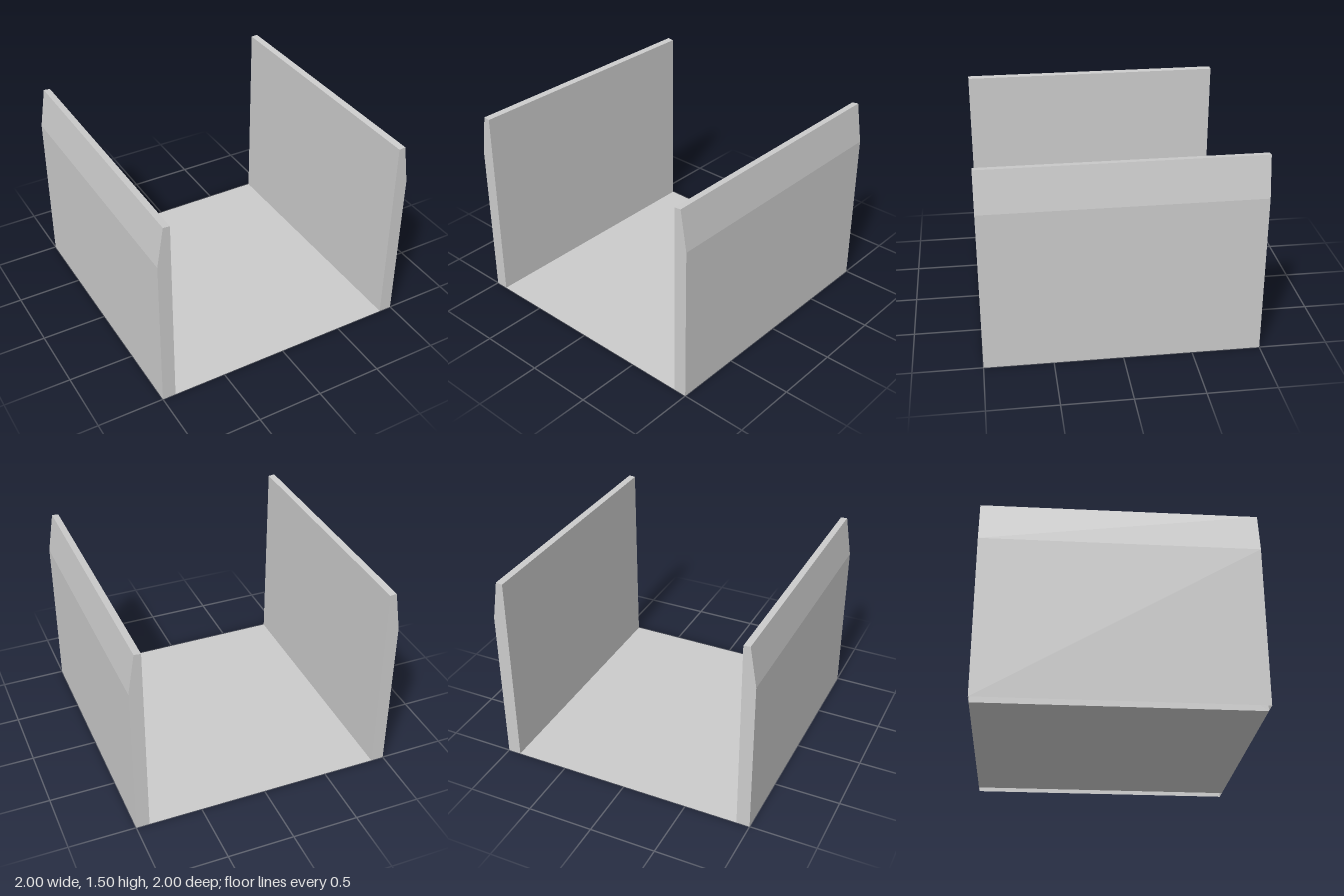
import * as THREE from 'three';

// Wall cross-section from outer foot to inner foot; the underside stays open.
const PROFILE = [[1, 0], [1, 1.2], [0.95, 1.503], [0.9, 1.498], [0.9, 0]];
const HALF = 1;

const material = new THREE.MeshStandardMaterial({
  color: 0xcccccc, flatShading: true, side: THREE.DoubleSide,
});

function mesh(geometry, name) {
  const m = new THREE.Mesh(geometry, material);
  m.name = name;
  return m;
}

// Long faces: the open profile swept along z.
function sweptFaces() {
  const pos = [];
  for (let i = 0; i < PROFILE.length - 1; i++) {
    const [ax, ay] = PROFILE[i], [bx, by] = PROFILE[i + 1];
    pos.push(ax, ay, HALF, ax, ay, -HALF, bx, by, -HALF);
    pos.push(ax, ay, HALF, bx, by, -HALF, bx, by, HALF);
  }
  const g = new THREE.BufferGeometry();
  g.setAttribute('position', new THREE.Float32BufferAttribute(pos, 3));
  g.computeVertexNormals();
  return g;
}

// End cap at +z (sign 1) or -z (sign -1, turned to face backwards).
function endCap(sign) {
  const shape = new THREE.Shape(PROFILE.map(([x, y]) => new THREE.Vector2(x * sign, y)));
  const g = new THREE.ShapeGeometry(shape).translate(0, 0, HALF);
  return sign < 0 ? g.rotateY(Math.PI) : g;
}

function createWall(name) {
  const wall = new THREE.Group();
  wall.name = name;
  wall.add(mesh(sweptFaces(), 'wallFaces'), mesh(endCap(1), 'frontEnd'), mesh(endCap(-1), 'backEnd'));
  return wall;
}

export function createModel() {
  const model = new THREE.Group();
  model.name = 'channel';

  // Thin floor sheet between the walls
  model.add(mesh(new THREE.PlaneGeometry(1.8, 2 * HALF).rotateX(-Math.PI / 2), 'floor'));

  // Two hollow side walls with bevelled outer tops
  const left = createWall('leftWall');
  const right = createWall('rightWall');
  right.rotation.y = Math.PI;
  model.add(left, right);
  return model;
}
